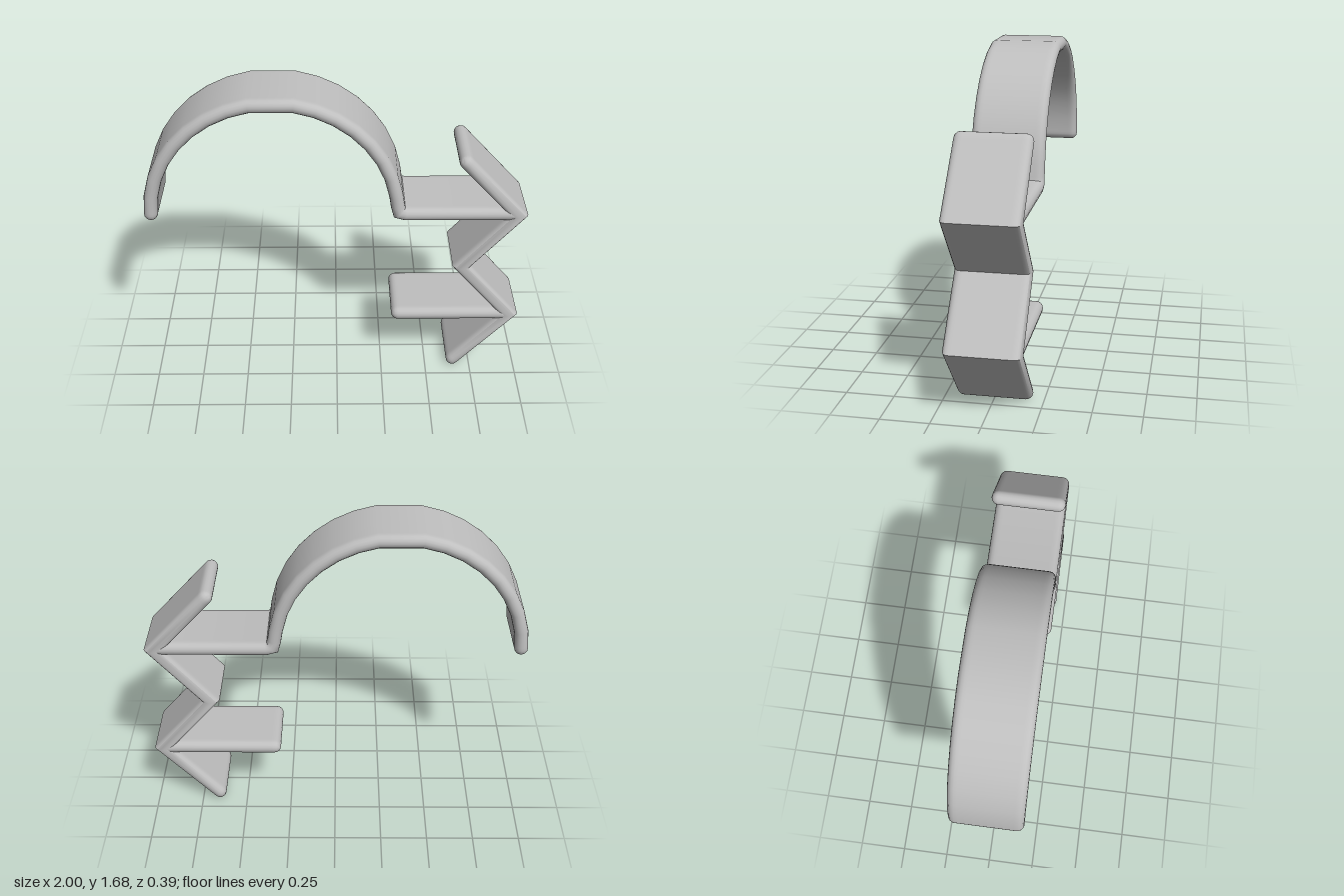
import * as THREE from 'three';
import { toCreasedNormals } from 'three/addons/utils/BufferGeometryUtils.js';

const R = 0.036; // half thickness of the band
const STEPS = 8; // sides of each rounded edge

// Cross-section of the band: pairs of [across the thickness, along z]
function section(r, core) {
  const pts = [];
  for (const side of [1, -1]) {
    pts.push([side * r, side * (core - 0.015)]);
    for (let k = 0; k <= STEPS; k++) {
      const a = (k / STEPS) * Math.PI;
      pts.push([side * r * Math.cos(a), side * (core + r * Math.sin(a))]);
    }
    pts.push([-side * r, side * (core - 0.015)]);
  }
  return pts;
}

// Flat band with rounded edges and ends, mitred along a path in the xy plane
function band(name, coords, halfWidth, material) {
  const path = coords.map(([x, y]) => new THREE.Vector2(x, y));
  const dir = (a, b) => b.clone().sub(a).normalize();
  const start = dir(path[0], path[1]);
  const end = dir(path.at(-2), path.at(-1));
  path.splice(1, 0, path[0].clone().addScaledVector(start, 0.015));
  path.splice(-1, 0, path.at(-1).clone().addScaledVector(end, -0.015));

  // Rings: centre, offset direction (with mitre scale) and radius
  const rings = [];
  const across = (t) => new THREE.Vector2(-t.y, t.x);
  const cap = (p, t, sign, order) => {
    for (const k of order) {
      const a = (k / 4) * Math.PI / 2;
      rings.push([p.clone().addScaledVector(t, sign * R * Math.sin(a)), across(t), R * Math.cos(a)]);
    }
  };
  cap(path[0], start, -1, [4, 3, 2, 1, 0]);
  for (let i = 1; i < path.length - 1; i++) {
    const before = across(dir(path[i - 1], path[i]));
    const after = across(dir(path[i], path[i + 1]));
    const mitre = before.clone().add(after).normalize();
    mitre.divideScalar(mitre.dot(after));
    rings.push([path[i], mitre, R]);
  }
  cap(path.at(-1), end, 1, [0, 1, 2, 3, 4]);

  const positions = [];
  const index = [];
  const n = section(R, halfWidth - R).length;
  rings.forEach(([p, offset, r], i) => {
    for (const [u, z] of section(r, halfWidth - R)) {
      positions.push(p.x + offset.x * u, p.y + offset.y * u, z);
    }
    if (i === rings.length - 1) return;
    for (let j = 0; j < n; j++) {
      const a = i * n + j;
      const b = i * n + ((j + 1) % n);
      index.push(a, b, b + n, a, b + n, a + n);
    }
  });
  const geometry = new THREE.BufferGeometry();
  geometry.setAttribute('position', new THREE.Float32BufferAttribute(positions, 3));
  geometry.setIndex(index);
  const mesh = new THREE.Mesh(toCreasedNormals(geometry, 0.8), material);
  mesh.name = name;
  return mesh;
}

export function createModel() {
  const grey = new THREE.MeshStandardMaterial({ color: 0xbfbfbf });
  grey.name = 'plain grey';
  const group = new THREE.Group();
  group.name = 'archedHook';

  // Arch with a flat crown, running on into the upper bar
  const arch = [[-0.964, 1.02]];
  for (let deg = 170; deg >= 10; deg -= 10) {
    if (deg === 90) continue;
    const a = THREE.MathUtils.degToRad(deg);
    arch.push([-0.325 + 0.64 * Math.cos(a), 1.01 + 0.64 * Math.sin(a)]);
  }
  arch.push([0.315, 1.06], [0.325, 1.022], [0.36, 1.012], [0.92, 1.012]);
  group.add(band('archAndUpperBar', arch, 0.191, grey));

  // Two arrow heads joined in a zigzag
  const zigzag = [[0.655, 1.32], [0.947, 1.003], [0.668, 0.68], [0.947, 0.358], [0.655, 0.037]];
  group.add(band('zigzagArrowHeads', zigzag, 0.194, grey));

  // Free lower bar
  group.add(band('lowerBar', [[0.335, 0.362], [0.92, 0.362]], 0.19, grey));

  return group;
}
